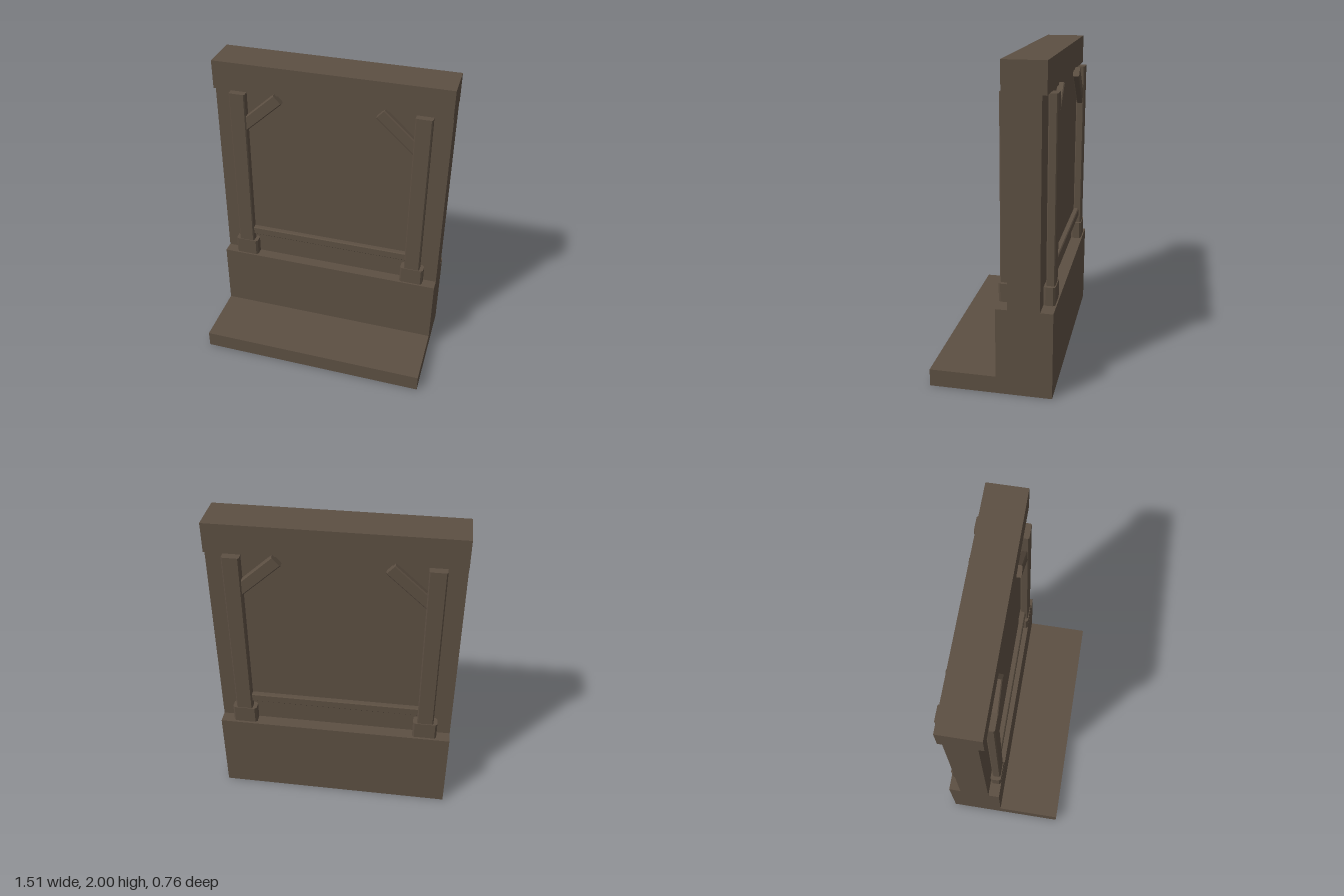
import * as THREE from 'three';

const timber = new THREE.MeshStandardMaterial({ color: 0x5c4f42, side: THREE.DoubleSide });
timber.name = 'dark brown';

const WIDTH = 1.51;
const MID_Z = -0.205; // middle of the wall's thickness

function add(parent, name, geometry) {
  const mesh = new THREE.Mesh(geometry, timber);
  mesh.name = name;
  parent.add(mesh);
  return mesh;
}

// Box from y and z limits; BoxGeometry groups of six indices are sides, top, bottom, front, back
function slab(y0, y1, z0, z1, skip = []) {
  const g = new THREE.BoxGeometry(WIDTH, y1 - y0, z1 - z0);
  const index = Array.from(g.index.array).filter((_, i) => !skip.includes(Math.floor(i / 6)));
  g.setIndex(index);
  g.clearGroups();
  g.translate(0, (y0 + y1) / 2, (z0 + z1) / 2);
  return g;
}

// Beam along y, centred, with its four long edges chamfered
function beam(w, d, length, c) {
  const x = w / 2, z = d / 2;
  const shape = new THREE.Shape([
    [x - c, -z], [x, -z + c], [x, z - c], [x - c, z],
    [-x + c, z], [-x, z - c], [-x, -z + c], [-x + c, -z],
  ].map(([a, b]) => new THREE.Vector2(a, b)));
  const g = new THREE.ExtrudeGeometry(shape, { depth: length, bevelEnabled: false });
  g.translate(0, 0, -length / 2);
  g.rotateX(-Math.PI / 2);
  return g;
}

// Timber frame for one face of the wall; z is measured outwards from the wall's middle
function frame() {
  const group = new THREE.Group();
  for (const s of [-1, 1]) {
    add(group, 'post', beam(0.105, 0.054, 1.2, 0.007)).position.set(s * 0.59, 1.21, 0.138);
    add(group, 'postFoot', beam(0.156, 0.07, 0.115, 0.012)).position.set(s * 0.59, 0.6225, 0.135);
    const brace = add(group, 'brace', beam(0.076, 0.042, 0.345, 0.006));
    brace.position.set(s * 0.453, 1.685, 0.136);
    brace.rotation.z = s * 0.832;
  }
  const rail = add(group, 'rail', beam(0.058, 0.036, 1.1, 0.006));
  rail.position.set(0, 0.757, 0.13);
  rail.rotation.z = Math.PI / 2;
  return group;
}

export function createModel() {
  const model = new THREE.Group();

  // Hollow base and step, open underneath
  add(model, 'base', slab(0, 0.555, -0.38, -0.035, [3]));
  add(model, 'step', slab(0, 0.11, -0.035, 0.38, [3, 5]));

  // Wall and lintel
  add(model, 'wall', slab(0.555, 1.815, -0.302, -0.108, [2, 3]));
  add(model, 'lintel', slab(1.815, 2, -0.33, -0.075));

  // The same frame on both faces
  for (const [name, turn] of [['frontFrame', 0], ['backFrame', Math.PI]]) {
    const f = frame();
    f.name = name;
    f.position.z = MID_Z;
    f.rotation.y = turn;
    model.add(f);
  }
  return model;
}
